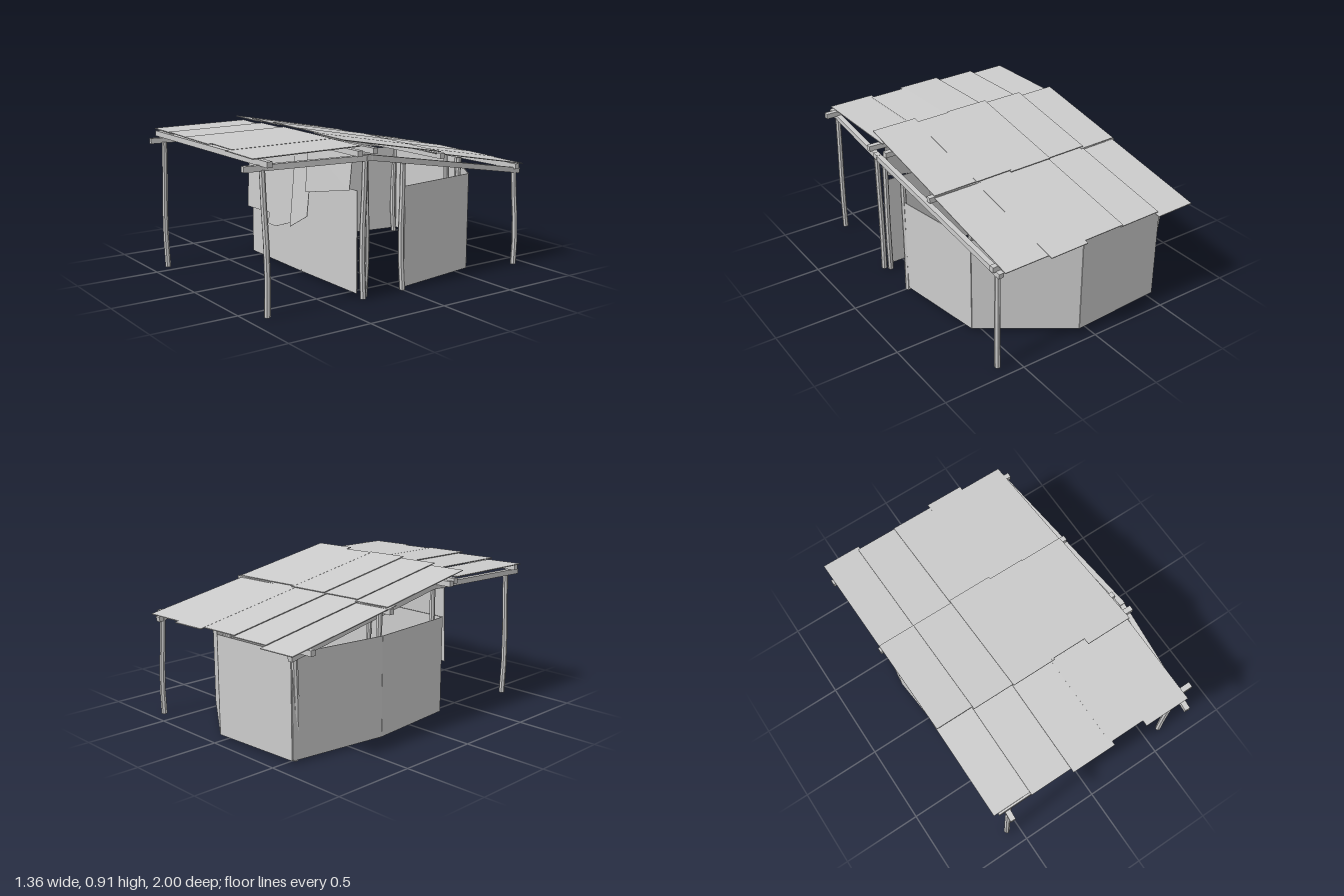
import * as THREE from 'three';

const material = new THREE.MeshStandardMaterial({
  color: 0xcccccc, flatShading: true, side: THREE.DoubleSide,
});
const V = (p) => new THREE.Vector3(...p);

function add(parent, name, geometry) {
  const mesh = new THREE.Mesh(geometry, material);
  mesh.name = name;
  parent.add(mesh);
  return mesh;
}

// Thin convex plate: a polygon thickened along its normal
function plate(parent, name, corners, thickness = 0.006) {
  const a = corners.map(V);
  const n = V(corners[1]).sub(a[0]).cross(V(corners[2]).sub(a[0])).normalize();
  const b = a.map((p) => p.clone().addScaledVector(n, -thickness));
  const tris = [];
  for (let i = 0; i < a.length; i++) {
    const j = (i + 1) % a.length;
    if (i > 0 && j > 0) tris.push(a[0], a[i], a[j], b[0], b[j], b[i]);
    tris.push(a[i], b[i], b[j], a[i], b[j], a[j]);
  }
  const g = new THREE.BufferGeometry().setFromPoints(tris);
  g.computeVertexNormals();
  return add(parent, name, g);
}

// Square timber between two points
function beam(parent, name, from, to, w = 0.032, h = w) {
  const a = V(from), b = V(to);
  const mesh = add(parent, name, new THREE.BoxGeometry(w, h, a.distanceTo(b)));
  mesh.position.copy(a).add(b).multiplyScalar(0.5);
  mesh.lookAt(b);
  return mesh;
}

// Rough pole: leaning, slightly bowed, few-sided
function pole(parent, name, from, to, bow = 0.008, r = 0.018) {
  const a = V(from), b = V(to);
  const g = new THREE.CylinderGeometry(r * 0.92, r, 1, 7, 4);
  const pos = g.attributes.position;
  for (let i = 0; i < pos.count; i++) {
    const t = pos.getY(i) + 0.5;
    const c = a.clone().lerp(b, t);
    const bend = bow * Math.sin(t * Math.PI * 1.5);
    pos.setXYZ(i, pos.getX(i) + c.x + bend, c.y, pos.getZ(i) + c.z - bend);
  }
  g.computeVertexNormals();
  return add(parent, name, g);
}

function group(parent, name) {
  const g = new THREE.Group();
  g.name = name;
  parent.add(g);
  return g;
}

export function createModel() {
  const model = group(new THREE.Group(), 'openShelter');
  model.removeFromParent();

  // Poles: porch, doorway, back corner and those inside the wall corners
  const poles = group(model, 'poles');
  const poleEnds = [
    ['porchPole', [-0.575, 0, 0.89], [-0.57, 0.785, 0.895]],
    ['porchPole', [0.61, 0, 0.885], [0.6, 0.785, 0.89]],
    ['doorPole', [0.645, 0, 0.285], [0.645, 0.8, 0.285]],
    ['doorPole', [0.615, 0, 0.255], [0.62, 0.78, 0.245]],
    ['doorPole', [0.638, 0, 0.0], [0.63, 0.735, 0.01]],
    ['backPole', [0.615, 0, -0.915], [0.61, 0.6, -0.905]],
    ['wallPole', [-0.52, 0, 0.225], [-0.53, 0.79, 0.235]],
    ['wallPole', [-0.575, 0, -0.275], [-0.57, 0.74, -0.28]],
    ['wallPole', [-0.505, 0, -0.845], [-0.55, 0.62, -0.87]],
    ['wallPole', [0.015, 0, -0.875], [0.015, 0.63, -0.875]],
    ['wallPole', [0.48, 0, -0.53], [0.5, 0.7, -0.53]],
    ['wallPole', [0.015, 0, 0.255], [0.01, 0.82, 0.255]],
  ];
  poleEnds.forEach(([name, a, b], i) => pole(poles, name, a, b, i % 2 ? 0.005 : -0.005));

  // Wall sheets run round the plan, leaving the doorway open on the right
  const walls = group(model, 'walls');
  const plan = [
    [0.635, -0.01], [0.55, -0.57], [0.05, -0.915], [-0.53, -0.885],
    [-0.61, -0.29], [-0.56, 0.28], [0.03, 0.29], [0.59, 0.285],
  ];
  for (let i = 0; i < plan.length - 1; i++) {
    const [ax, az] = plan[i], [bx, bz] = plan[i + 1];
    plate(walls, 'wallSheet',
      [[ax, 0.015, az], [ax, 0.605, az], [bx, 0.605, bz], [bx, 0.015, bz]], 0.005);
  }

  // Loose sheets hanging over the front wall
  const hangings = group(model, 'hangingSheets');
  const hang = [
    [[-0.555, 0.81, 0.3], [-0.555, 0.32, 0.325], [-0.275, 0.328, 0.33], [-0.275, 0.82, 0.3]],
    [[-0.28, 0.82, 0.302], [-0.28, 0.26, 0.335], [-0.2, 0.255, 0.335],
      [0, 0.32, 0.333], [-0.005, 0.82, 0.302]],
    [[-0.005, 0.82, 0.303], [0, 0.295, 0.355], [0.18, 0.39, 0.35], [0.18, 0.82, 0.305]],
    [[0.135, 0.82, 0.312], [0.152, 0.53, 0.342], [0.58, 0.61, 0.335], [0.58, 0.81, 0.312]],
  ];
  hang.forEach((c) => plate(hangings, 'hangingSheet', c, 0.003));

  // Timber frame: side beams, sloping rafters, cross beams and purlins
  const frame = group(model, 'frame');
  beam(frame, 'porchSideBeam', [-0.59, 0.795, 0.97], [-0.53, 0.795, 0.2]);
  beam(frame, 'porchSideBeam', [0.58, 0.795, 1.0], [0.655, 0.795, 0.24]);
  beam(frame, 'rafter', [-0.53, 0.805, 0.27], [-0.57, 0.595, -0.93]);
  beam(frame, 'rafter', [0.655, 0.8, 0.28], [0.605, 0.595, -0.935]);
  const crossBeams = [
    ['porchCrossBeam', [-0.64, 0.832, 0.895], [0.675, 0.822, 0.895]],
    ['porchCrossBeam', [-0.64, 0.832, 0.3], [0.675, 0.825, 0.33]],
    ['purlin', [-0.66, 0.825, 0.24], [0.64, 0.825, 0.2]],
    ['purlin', [-0.68, 0.752, -0.29], [0.64, 0.75, -0.285]],
    ['purlin', [-0.68, 0.635, -0.87], [0.64, 0.628, -0.895]],
  ];
  crossBeams.forEach(([name, a, b]) => beam(frame, name, a, b));

  // Roof sheets: rows of five overlapping sheets, each a little out of line
  const roof = group(model, 'roof');
  const seams = [-0.668, -0.42, -0.16, 0.105, 0.333, 0.608];
  const rows = [
    { name: 'porchRoofSheet', front: [0.9, 0.92, 0.945, 0.92, 0.955], back: Array(5).fill(0.28),
      height: (z) => 0.863 - (z - 0.28) * 0.01 },
    { name: 'lowerRoofSheet', front: Array(5).fill(-0.24), back: [-1, -0.975, -0.975, -1, -0.975],
      height: (z) => 0.638 + (z + 1) * 0.182 },
    { name: 'upperRoofSheet', front: [0.33, 0.35, 0.36, 0.35, 0.39],
      back: [-0.31, -0.305, -0.32, -0.305, -0.3],
      height: (z) => 0.779 + (z + 0.3) * 0.182 },
  ];
  rows.forEach(({ name, front, back, height }) => {
    for (let i = 0; i < 5; i++) {
      const x0 = seams[i] - (i ? 0.015 : 0), x1 = seams[i + 1];
      const lift = [0, 0.005, 0.008, 0.003, -0.004][i];
      const f = front[i], b = back[i];
      plate(roof, name, [
        [x0, height(f) + lift + 0.003, f], [x1, height(f) + lift - 0.003, f],
        [x1, height(b) + lift - 0.003, b], [x0, height(b) + lift + 0.003, b],
      ], 0.005);
    }
  });

  return model;
}
